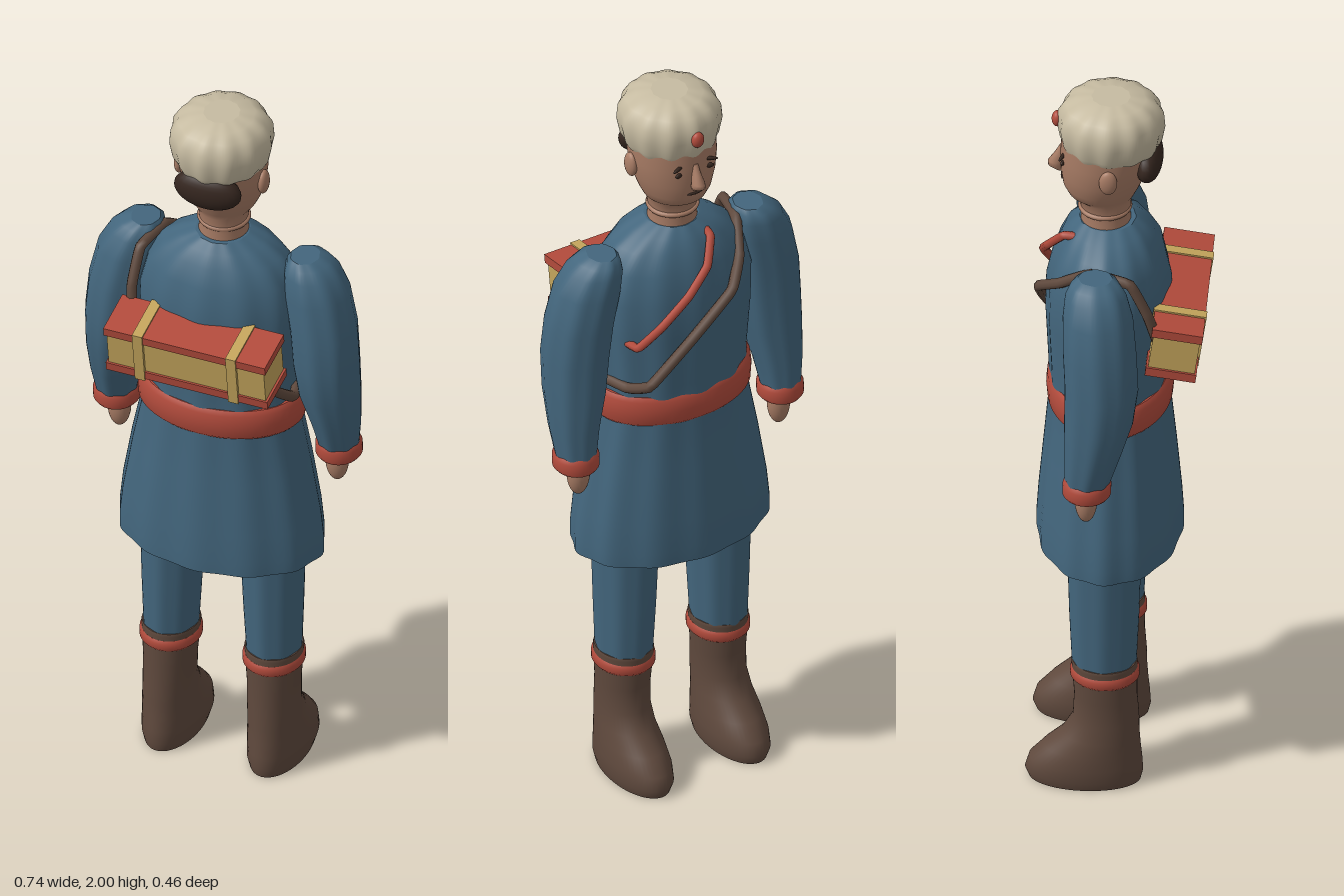
import * as THREE from 'three';

const mat = (name, color) => {
  const m = new THREE.MeshStandardMaterial({ color });
  m.name = name;
  return m;
};

// Closed surface through elliptical rings [y, cx, cz, rx, rz], bottom to top, with optional cloth folds
function loft(rings, { folds = 0, depth = 0, seg = 48 } = {}) {
  const pos = [], idx = [];
  const addRing = ([y, cx, cz, rx, rz]) => {
    const start = pos.length / 3;
    for (let j = 0; j < seg; j++) {
      const a = (j / seg) * Math.PI * 2;
      const k = 1 + depth * Math.cos(folds * a);
      pos.push(cx + Math.cos(a) * rx * k, y, cz + Math.sin(a) * rz * k);
    }
    return start;
  };
  const starts = rings.map(addRing);
  for (let i = 0; i < rings.length - 1; i++) {
    for (let j = 0; j < seg; j++) {
      const n = (j + 1) % seg;
      const a = starts[i] + j, b = starts[i] + n, c = starts[i + 1] + j, d = starts[i + 1] + n;
      idx.push(a, c, b, b, c, d);
    }
  }
  // caps have their own vertices so that the rims stay crisp
  [rings[0], rings[rings.length - 1]].forEach((r, top) => {
    const s = addRing(r), centre = pos.length / 3;
    pos.push(r[1], r[0], r[2]);
    for (let j = 0; j < seg; j++) {
      const n = (j + 1) % seg;
      if (top) idx.push(centre, s + n, s + j);
      else idx.push(centre, s + j, s + n);
    }
  });
  const g = new THREE.BufferGeometry();
  g.setAttribute('position', new THREE.Float32BufferAttribute(pos, 3));
  g.setIndex(idx);
  g.computeVertexNormals();
  return g;
}

export function createModel() {
  const model = new THREE.Group();
  const blue = mat('blue cloth', 0x43667d);
  const red = mat('red trim', 0xb24b3c);
  const brown = mat('brown leather', 0x5f493d);
  const skin = mat('skin', 0xa87c65);
  const cream = mat('cream turban', 0xc6bba1);
  const gold = mat('gold box', 0xc4a55c);
  const dark = mat('dark hair', 0x35261f);

  const add = (name, geometry, material, parent = model) => {
    const m = new THREE.Mesh(geometry, material);
    m.name = name;
    parent.add(m);
    return m;
  };
  const ball = (name, material, p, s) => {
    const m = add(name, new THREE.SphereGeometry(1, 24, 16), material);
    m.position.set(...p);
    m.scale.set(...s);
    return m;
  };
  const strap = (name, material, r, points) => {
    const curve = new THREE.CatmullRomCurve3(points.map(p => new THREE.Vector3(...p)), false, 'catmullrom', 0.15);
    return add(name, new THREE.TubeGeometry(curve, 80, r, 8), material);
  };

  // Tunic, sash at the waist
  add('tunic', loft([
    [0.68, 0, -0.022, 0.268, 0.182], [0.72, 0, -0.022, 0.268, 0.182], [0.8, 0, -0.022, 0.26, 0.177],
    [0.95, 0, -0.022, 0.235, 0.164], [1.1, 0, -0.023, 0.205, 0.15], [1.2, 0, -0.025, 0.2, 0.15],
    [1.35, 0, -0.025, 0.212, 0.157], [1.45, 0, -0.025, 0.215, 0.155], [1.53, 0, -0.025, 0.195, 0.138],
    [1.58, 0, -0.026, 0.155, 0.115], [1.61, 0, -0.027, 0.11, 0.092], [1.63, 0, -0.028, 0.068, 0.07],
  ], { folds: 12, depth: 0.015, seg: 96 }), blue);
  add('waistSash', loft([
    [1.085, 0, -0.022, 0.208, 0.148], [1.095, 0, -0.022, 0.217, 0.157], [1.13, 0, -0.022, 0.219, 0.16],
    [1.16, 0, -0.022, 0.216, 0.157], [1.172, 0, -0.022, 0.207, 0.148],
  ]), red);

  // Arms, legs and boots, mirrored
  for (const s of [1, -1]) {
    const side = s > 0 ? 'left' : 'right';
    const limb = (name, rings, material, opts) =>
      add(side + name, loft(rings.map(([y, x, ...r]) => [y, s * x, ...r]), opts), material);
    limb('Sleeve', [
      [1.02, 0.3, -0.06, 0.051, 0.055], [1.1, 0.298, -0.047, 0.063, 0.068], [1.2, 0.288, -0.032, 0.078, 0.084],
      [1.3, 0.281, -0.025, 0.084, 0.09], [1.4, 0.272, -0.03, 0.085, 0.09], [1.5, 0.252, -0.036, 0.083, 0.086],
      [1.555, 0.235, -0.042, 0.07, 0.075], [1.58, 0.224, -0.045, 0.054, 0.06], [1.592, 0.215, -0.045, 0.036, 0.042],
    ], blue, { folds: 8, depth: 0.025 });
    limb('Cuff', [
      [0.983, 0.3, -0.061, 0.052, 0.055], [0.992, 0.3, -0.061, 0.059, 0.061],
      [1.02, 0.3, -0.06, 0.059, 0.061], [1.032, 0.3, -0.06, 0.05, 0.054],
    ], red);
    ball(side + 'Hand', skin, [s * 0.294, 0.96, -0.063], [0.03, 0.062, 0.028]);
    limb('TrouserLeg', [
      [0.34, 0.139, -0.028, 0.069, 0.079], [0.5, 0.137, -0.028, 0.076, 0.086], [0.72, 0.135, -0.028, 0.084, 0.092],
    ], blue, { folds: 8, depth: 0.02 });
    limb('Boot', [
      [0, 0.142, -0.076, 0.07, 0.14], [0.025, 0.142, -0.078, 0.077, 0.148], [0.06, 0.142, -0.074, 0.077, 0.142],
      [0.1, 0.142, -0.058, 0.074, 0.122], [0.14, 0.142, -0.037, 0.069, 0.098], [0.19, 0.141, -0.023, 0.066, 0.083],
      [0.26, 0.14, -0.024, 0.067, 0.079], [0.355, 0.139, -0.027, 0.074, 0.083], [0.363, 0.139, -0.027, 0.072, 0.081],
    ], brown);
    limb('BootBand', [
      [0.31, 0.139, -0.026, 0.071, 0.08], [0.318, 0.139, -0.026, 0.078, 0.087],
      [0.335, 0.139, -0.026, 0.078, 0.087], [0.343, 0.139, -0.026, 0.073, 0.082],
    ], red);
    // Face details
    ball(side + 'Ear', skin, [s * 0.113, 1.812, -0.02], [0.014, 0.034, 0.023]);
    const eye = ball(side + 'Eye', dark, [s * 0.043, 1.821, -0.137], [0.014, 0.007, 0.005]);
    eye.rotation.y = s * 0.38;
    const brow = ball(side + 'Eyebrow', dark, [s * 0.045, 1.842, -0.138], [0.022, 0.005, 0.005]);
    brow.rotation.set(0, s * 0.38, s * -0.1);
  }

  // Head and neck
  add('head', loft([
    [1.6, 0, -0.033, 0.068, 0.066], [1.65, 0, -0.033, 0.06, 0.061], [1.695, 0, -0.034, 0.064, 0.066],
    [1.715, 0, -0.043, 0.08, 0.085], [1.74, 0, -0.043, 0.092, 0.097], [1.78, 0, -0.037, 0.105, 0.108],
    [1.83, 0, -0.032, 0.112, 0.115], [1.89, 0, -0.028, 0.11, 0.115],
  ]), skin);
  add('nose', loft([
    [1.77, 0, -0.146, 0.01, 0.012], [1.784, 0, -0.158, 0.018, 0.02], [1.796, 0, -0.158, 0.016, 0.02],
    [1.82, 0, -0.147, 0.011, 0.015], [1.845, 0, -0.14, 0.008, 0.008],
  ], { seg: 16 }), skin);
  ball('mouth', dark, [0, 1.755, -0.141], [0.022, 0.004, 0.005]);
  const collar = add('neckRing', new THREE.TorusGeometry(0.061, 0.007, 8, 40), skin);
  collar.rotation.x = Math.PI / 2;
  collar.position.set(0, 1.665, -0.035);
  ball('hairBun', dark, [0, 1.82, 0.073], [0.09, 0.055, 0.038]);

  // Fluted turban with a red jewel
  add('turban', loft([
    [1.858, 0, -0.02, 0.112, 0.118], [1.875, 0, -0.02, 0.121, 0.126], [1.915, 0, -0.02, 0.129, 0.133],
    [1.95, 0, -0.02, 0.126, 0.13], [1.978, 0, -0.02, 0.109, 0.113], [1.993, 0, -0.02, 0.082, 0.086],
    [2.0, 0, -0.02, 0.045, 0.048],
  ], { folds: 12, depth: 0.022, seg: 96 }), cream);
  ball('turbanJewel', red, [0, 1.925, -0.155], [0.017, 0.022, 0.014]);

  // Shoulder strap and red cord
  strap('shoulderStrap', brown, 0.014, [
    [-0.19, 1.38, 0.11], [-0.2, 1.47, 0.085], [-0.195, 1.56, 0.04], [-0.17, 1.57, -0.06], [-0.13, 1.51, -0.14],
    [-0.075, 1.46, -0.195], [0.04, 1.35, -0.192], [0.15, 1.235, -0.172], [0.18, 1.205, -0.11],
    [0.215, 1.2, 0.03], [0.19, 1.25, 0.09], [0.17, 1.31, 0.13],
  ]);
  strap('chestCord', red, 0.011, [
    [-0.055, 1.6, -0.1], [-0.05, 1.6, -0.135], [-0.015, 1.545, -0.176],
    [0.05, 1.485, -0.193], [0.12, 1.41, -0.18], [0.17, 1.345, -0.148], [0.175, 1.335, -0.09],
  ]);

  // Box carried on the back, tilted
  const box = new THREE.Group();
  box.name = 'backBox';
  box.position.set(-0.002, 1.363, 0.152);
  box.rotation.x = 0.14;
  model.add(box);
  add('boxBody', new THREE.BoxGeometry(0.424, 0.11, 0.118), gold, box);
  for (const s of [1, -1]) {
    add(s > 0 ? 'boxLid' : 'boxBase', new THREE.BoxGeometry(0.436, 0.024, 0.128), red, box).position.y = s * 0.06;
    add('boxStrap', new THREE.BoxGeometry(0.027, 0.153, 0.134), gold, box).position.x = s * 0.126;
  }
  return model;
}
